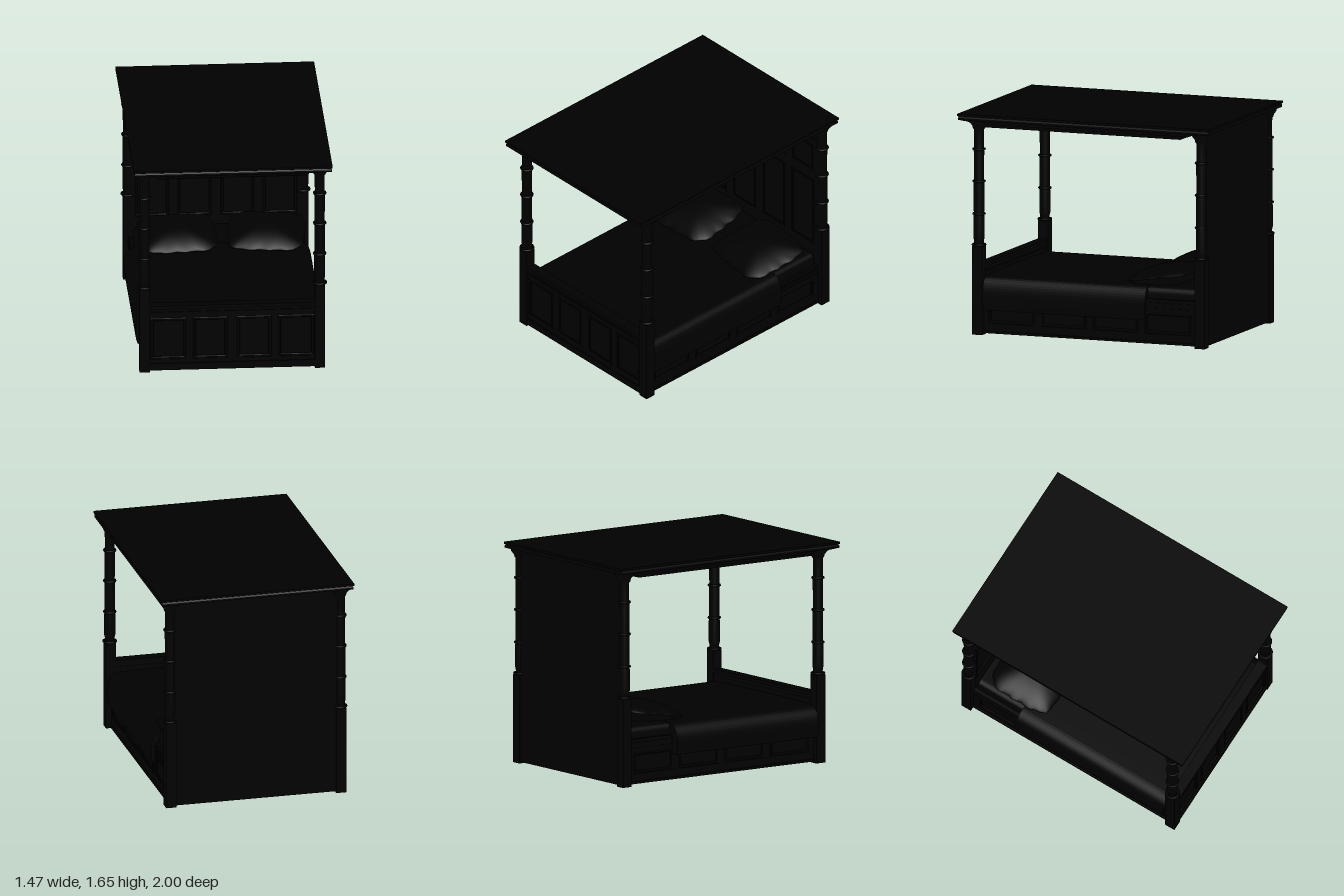
import * as THREE from 'three';

const mat = new THREE.MeshStandardMaterial({ color: 0x000000, side: THREE.DoubleSide });

function add(parent, name, geo, x = 0, y = 0, z = 0) {
  const m = new THREE.Mesh(geo, mat);
  m.name = name;
  m.position.set(x, y, z);
  parent.add(m);
  return m;
}

// box given by its limits
function box(parent, name, x0, x1, y0, y1, z0, z1) {
  return add(parent, name, new THREE.BoxGeometry(x1 - x0, y1 - y0, z1 - z0),
    (x0 + x1) / 2, (y0 + y1) / 2, (z0 + z1) / 2);
}

function rectPath(path, x0, x1, y0, y1) {
  path.moveTo(x0, y0);
  path.lineTo(x1, y0);
  path.lineTo(x1, y1);
  path.lineTo(x0, y1);
  path.closePath();
  return path;
}

// board facing +z with recessed, moulded panels; each panel is [x0, x1, y0, y1]
function panelledBoard(name, w, y0, y1, depth, panels) {
  const g = new THREE.Group();
  g.name = name;
  const face = 0.02;
  const shape = rectPath(new THREE.Shape(), -w / 2, w / 2, y0, y1);
  for (const p of panels) shape.holes.push(rectPath(new THREE.Path(), ...p));
  add(g, 'boardFrame', new THREE.ExtrudeGeometry(shape, { depth: face, bevelEnabled: false }), 0, 0, -face);
  box(g, 'boardBack', -w / 2, w / 2, y0, y1, -depth, -face);
  for (const [a, b, c, d] of panels) {
    const t = 0.012;
    const trim = rectPath(new THREE.Shape(), a, b, c, d);
    trim.holes.push(rectPath(new THREE.Path(), a + t, b - t, c + t, d - t));
    add(g, 'panelMoulding', new THREE.ExtrudeGeometry(trim,
      { depth: 0.01, bevelThickness: 0.004, bevelSize: 0.004, bevelSegments: 1 }), 0, 0, -0.01);
  }
  return g;
}

// solid stacked from rectangles [halfWidth, back z, front z, y], top to bottom
function steppedSlab(levels) {
  const corner = ([w, b, f, y], k) => [[w, y, f], [w, y, b], [-w, y, b], [-w, y, f]][k % 4];
  const pos = [];
  for (let i = 0; i < levels.length - 1; i++) {
    for (let k = 0; k < 4; k++) {
      const a = corner(levels[i], k), b = corner(levels[i], k + 1);
      const c = corner(levels[i + 1], k + 1), d = corner(levels[i + 1], k);
      pos.push(...a, ...d, ...c, ...a, ...c, ...b);
    }
  }
  const geo = new THREE.BufferGeometry();
  geo.setAttribute('position', new THREE.Float32BufferAttribute(pos, 3));
  geo.computeVertexNormals();
  return geo;
}

// square foot, round shaft, rings and flared capital
function bedPost(x, z) {
  const g = new THREE.Group();
  g.name = 'bedPost';
  g.position.set(x, 0, z);
  box(g, 'postBase', -0.038, 0.038, 0, 0.66, -0.04, 0.04);
  const shaft = [[0, 0.66], [0.034, 0.66], [0.036, 0.7], [0.041, 0.72], [0.041, 0.88], [0.037, 0.9],
    [0.039, 0.92], [0.039, 1.14], [0.037, 1.16], [0.039, 1.37], [0.036, 1.4], [0.037, 1.53],
    [0.045, 1.54], [0.05, 1.56], [0.062, 1.575], [0.07, 1.585], [0.07, 1.61]];
  add(g, 'postShaft', new THREE.LatheGeometry(shaft.map(p => new THREE.Vector2(...p)), 28));
  for (const [y, r] of [[0.67, 0.046], [0.902, 0.041], [1.145, 0.041], [1.385, 0.041]]) {
    const ring = new THREE.TorusGeometry(r, 0.009, 8, 28).rotateX(Math.PI / 2);
    add(g, 'postRing', ring, 0, y, 0);
  }
  return g;
}

// cushion with puffed middle, drawn-out corners and a thin wavy hem
function pillowGeometry(w, d, h) {
  const geo = new THREE.SphereGeometry(1, 48, 32);
  const p = geo.attributes.position;
  for (let i = 0; i < p.count; i++) {
    const x = p.getX(i), y = p.getY(i), z = p.getZ(i);
    const r = Math.hypot(x, z), a = Math.atan2(z, x);
    const square = 1 / Math.pow(Math.abs(Math.cos(a)) ** 5 + Math.abs(Math.sin(a)) ** 5, 0.2);
    const hem = 1 + 0.025 * Math.sin(14 * a) * r ** 8;
    const puff = Math.sign(y) * Math.pow(Math.abs(y), 1.5);
    p.setXYZ(i, x * square * hem * w / 2, puff * h / 2, z * square * hem * d / 2);
  }
  geo.computeVertexNormals();
  return geo;
}

export function createModel() {
  const bed = new THREE.Group();
  bed.name = 'fourPosterBed';

  // posts
  for (const x of [-0.648, 0.648]) for (const z of [0.86, -0.91]) bed.add(bedPost(x, z));

  // canopy: cornice, cove, inner lip and recessed ceiling
  add(bed, 'canopy', steppedSlab([
    [0, 0, 0, 1.65], [0.735, -1, 1, 1.65], [0.735, -1, 1, 1.635], [0.725, -0.99, 0.99, 1.63],
    [0.73, -0.995, 0.995, 1.62], [0.73, -0.995, 0.995, 1.605], [0.715, -0.97, 0.975, 1.6],
    [0.69, -0.85, 0.935, 1.59], [0.65, -0.8, 0.91, 1.57], [0.6, -0.77, 0.895, 1.56],
    [0.57, -0.73, 0.89, 1.558], [0.56, -0.725, 0.885, 1.54], [0.545, -0.7, 0.87, 1.53],
    [0.5, -0.67, 0.83, 1.53], [0.49, -0.66, 0.82, 1.555], [0.45, -0.62, 0.78, 1.56],
    [0.44, -0.61, 0.77, 1.6], [0, 0, 0, 1.6]]));

  // headboard with two rows of panels
  const upper = [[-0.59, -0.375], [-0.28, -0.06], [0.06, 0.28], [0.36, 0.585]];
  const lower = [[-0.595, -0.35], [-0.28, -0.035], [0.04, 0.28], [0.35, 0.595]];
  const head = panelledBoard('headboard', 1.26, 0.01, 1.605, 0.06,
    [...upper.map(p => [...p, 1.16, 1.385]), ...lower.map(p => [...p, 0.5, 1.075])]);
  head.position.z = -0.875;
  bed.add(head);
  box(bed, 'headboardRail', -0.61, 0.61, 1.445, 1.465, -0.88, -0.865);
  box(bed, 'headboardCornice', -0.61, 0.61, 1.55, 1.605, -0.88, -0.85);

  // footboard with capping and plinth
  const foot = panelledBoard('footboard', 1.24, 0.012, 0.5, 0.055,
    [[-0.6, -0.345], [-0.285, -0.04], [0.04, 0.285], [0.345, 0.6]].map(p => [...p, 0.1, 0.42]));
  foot.position.z = 0.885;
  bed.add(foot);
  box(bed, 'footboardCap', -0.62, 0.62, 0.5, 0.525, 0.822, 0.9);
  box(bed, 'footboardMoulding', -0.62, 0.62, 0.46, 0.475, 0.825, 0.892);
  box(bed, 'footboardPlinth', -0.62, 0.62, 0.012, 0.065, 0.83, 0.895);

  // base and side rails
  box(bed, 'bedBase', -0.62, 0.62, 0.012, 0.28, -0.88, 0.84);
  for (const s of [-1, 1]) {
    const panels = [];
    for (let i = 0; i < 4; i++) panels.push([-0.8 + i * 0.415, -0.445 + i * 0.415, 0.09, 0.24]);
    const rail = panelledBoard('sideRail', 1.7, 0.012, 0.345, 0.05, panels);
    rail.position.set(s * 0.645, 0, -0.02);
    rail.rotation.y = s * Math.PI / 2;
    bed.add(rail);
    const edge = (name, y0, y1, o) => box(bed, name, s * 0.645 - o, s * 0.645 + o, y0, y1, -0.87, 0.83);
    edge('railMoulding', 0.305, 0.32, 0.008);
    edge('railMoulding', 0.265, 0.278, 0.006);
    edge('railPlinth', 0.012, 0.03, 0.012);
  }

  // mattress
  const mattress = new THREE.Shape();
  mattress.moveTo(-0.61, 0.27);
  mattress.lineTo(0.61, 0.27);
  mattress.lineTo(0.61, 0.37);
  mattress.quadraticCurveTo(0.61, 0.425, 0.56, 0.425);
  mattress.lineTo(-0.56, 0.425);
  mattress.quadraticCurveTo(-0.61, 0.425, -0.61, 0.37);
  add(bed, 'mattress', new THREE.ExtrudeGeometry(mattress,
    { depth: 1.67, bevelThickness: 0.01, bevelSize: 0.008, bevelSegments: 3 }), 0, 0, -0.85);

  // blanket hanging over both sides, fuller on the right
  const cover = new THREE.Shape();
  cover.moveTo(0.64, 0.185);
  cover.lineTo(0.668, 0.185);
  cover.bezierCurveTo(0.685, 0.26, 0.69, 0.425, 0.6, 0.435);
  cover.quadraticCurveTo(0, 0.455, -0.6, 0.435);
  cover.bezierCurveTo(-0.71, 0.425, -0.735, 0.3, -0.695, 0.2);
  cover.lineTo(-0.64, 0.195);
  cover.lineTo(-0.6, 0.36);
  cover.lineTo(0.6, 0.36);
  cover.closePath();
  add(bed, 'blanket', new THREE.ExtrudeGeometry(cover,
    { depth: 1.29, bevelEnabled: false, curveSegments: 16 }), 0, 0, -0.47);

  // two pillows leaning towards the headboard
  for (const [x, turn, roll] of [[-0.31, 0.06, 0], [0.35, -0.12, 0.02]]) {
    const pillow = add(bed, 'pillow', pillowGeometry(0.57, 0.52, 0.17), x, 0.492, -0.545);
    pillow.rotation.set(0.16, turn, roll);
  }
  return bed;
}
